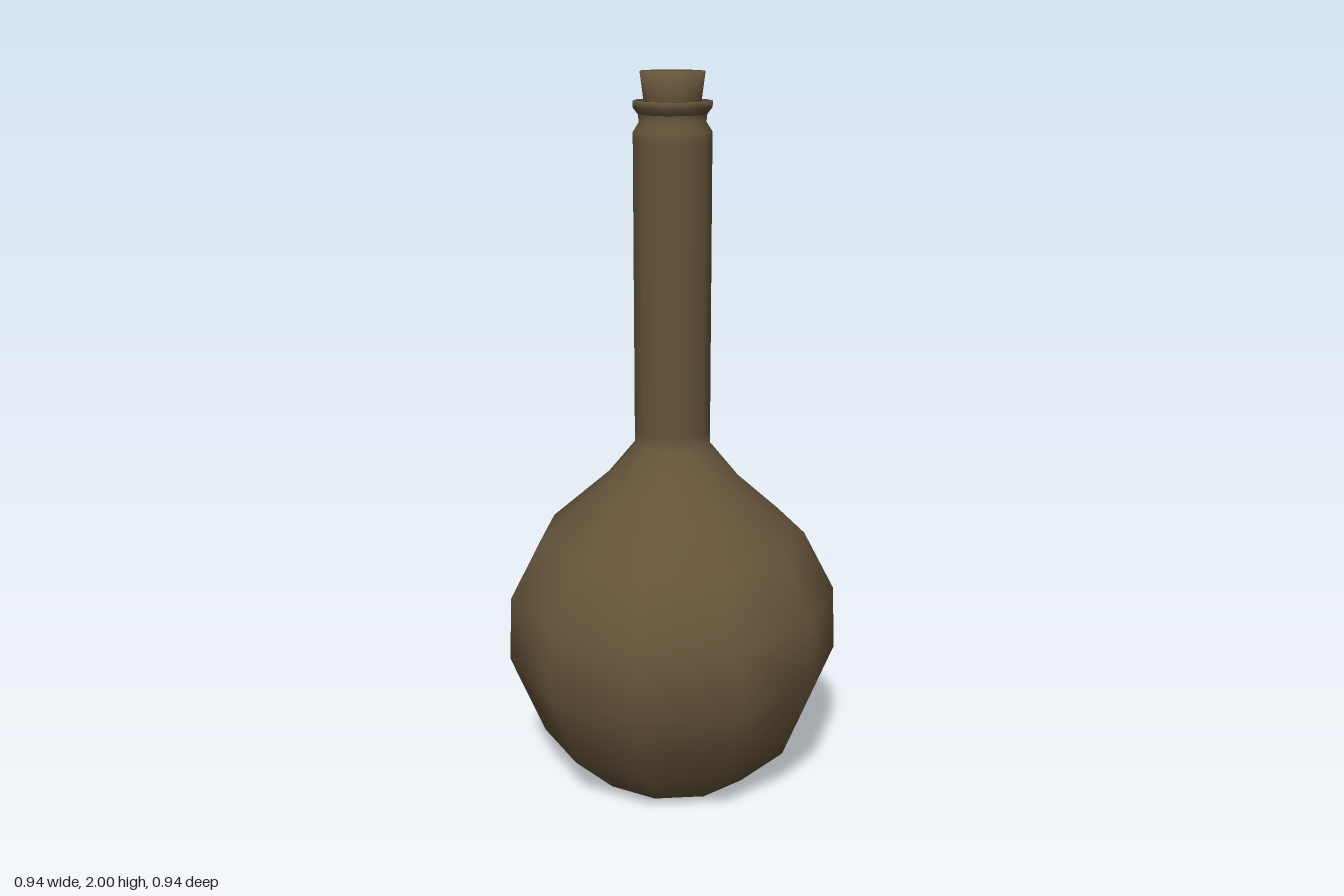
import * as THREE from 'three';

const SIDES = 11;
const STEP = 33.67; // degrees; the closing side at the back is narrower
const START = 203.2;

// Revolve a profile, then turn each column to its uneven angle.
function revolve(name, profile, material) {
  const geometry = new THREE.LatheGeometry(profile.map(([r, y]) => new THREE.Vector2(r, y)), SIDES);
  const { position, normal } = geometry.attributes;
  const v = new THREE.Vector3();
  const up = new THREE.Vector3(0, 1, 0);
  for (let i = 0; i < position.count; i++) {
    const column = Math.floor(i / profile.length);
    const target = column === SIDES ? START : START + STEP * column;
    const turn = THREE.MathUtils.degToRad(target - (column % SIDES) * 360 / SIDES);
    for (const attribute of [position, normal]) {
      v.fromBufferAttribute(attribute, i).applyAxisAngle(up, turn);
      attribute.setXYZ(i, v.x, v.y, v.z);
    }
  }
  const mesh = new THREE.Mesh(geometry, material);
  mesh.name = name;
  return mesh;
}

export function createModel() {
  const model = new THREE.Group();
  model.name = 'corkedFlask';
  const brown = new THREE.MeshStandardMaterial({ color: 0x65543a });
  brown.name = 'dull brown';

  // Round body and long neck up to the groove
  model.add(revolve('body', [
    [0.243, 0], [0.378, 0.13], [0.473, 0.365], [0.466, 0.55], [0.378, 0.72],
    [0.197, 0.88], [0.106, 0.99], [0.106, 1.03], [0.106, 1.82], [0.106, 1.845],
    [0.09, 1.87], [0.092, 1.89],
  ], brown));

  // Flared lip with an inner wall
  model.add(revolve('lip', [
    [0.092, 1.89], [0.106, 1.908], [0.106, 1.925], [0.09, 1.925], [0.086, 1.88],
  ], brown));

  // Flat base
  model.add(revolve('base', [[0, 0], [0.243, 0]], brown));

  // Tapered stopper
  model.add(revolve('stopper', [[0, 1.88], [0.073, 1.88], [0.077, 1.925], [0.087, 2], [0, 2]], brown));

  for (const part of model.children) part.position.set(0.004, 0, 0.004);
  return model;
}
